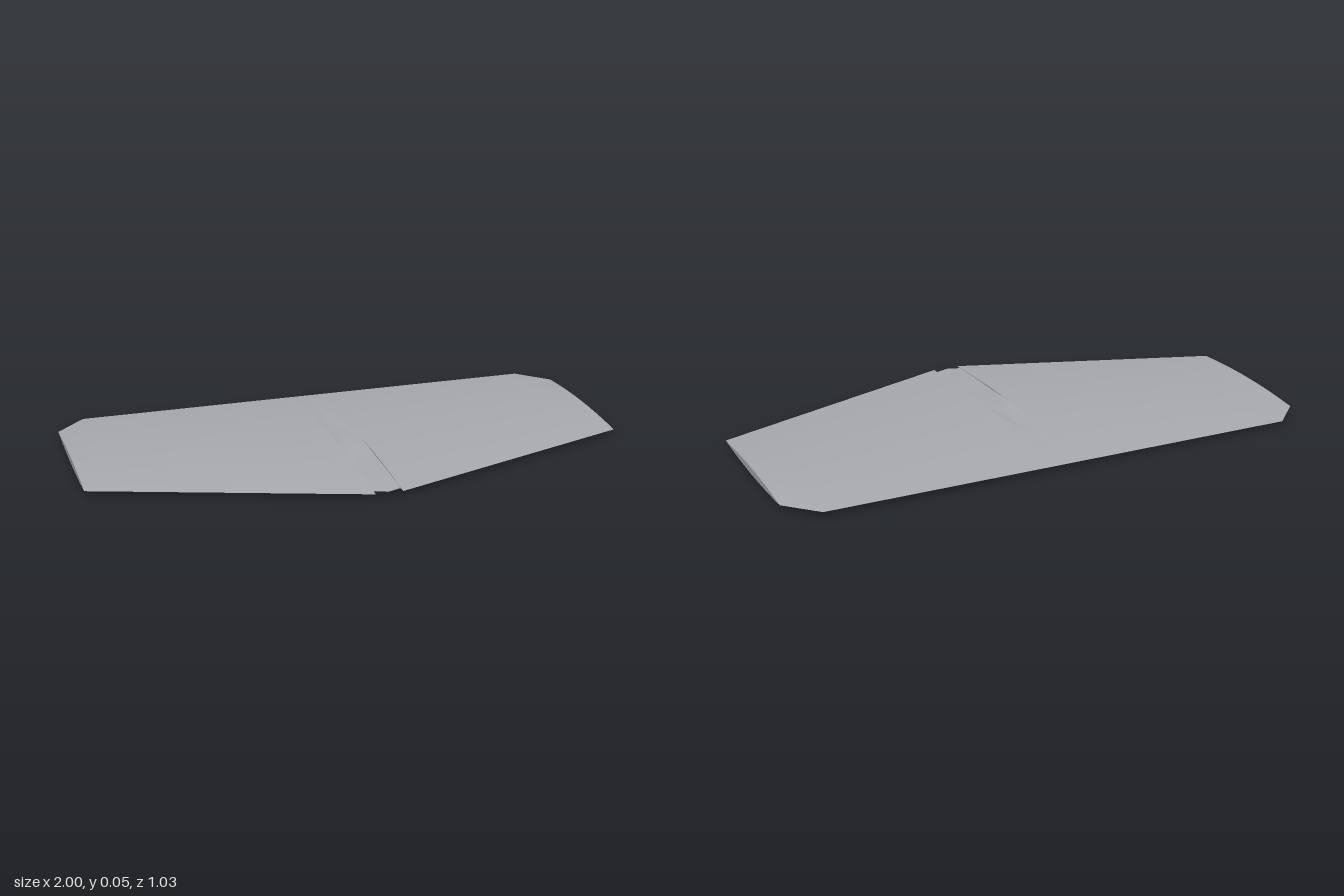
import * as THREE from 'three';

const MID = 0.024;   // height of the chord plane
const SLOT = 0.05;   // half width of the centre slot
const N = 16;        // chordwise segments

// planform edges and lens-shaped half thickness
const front = (x) => 0.51 - 0.325 * (Math.abs(x) - SLOT) / (1 - SLOT);
const rear = (x) => -0.52 + Math.max(0, Math.abs(x) - 0.89);
const lens = (x, z) => {
  const ax = Math.max(SLOT, Math.abs(x));
  const a = rear(ax), b = front(ax);
  const u = (2 * z - a - b) / (b - a);
  return (0.0225 - 0.0095 * (ax - SLOT) / (1 - SLOT)) * Math.max(0, 1 - u * u);
};

// the strip sinks below the panels at its front and in its rear point
const stripHeight = (x, z) => {
  let sink = 0;
  if (z > 0.05) sink = Math.min(1, (z - 0.05) / 0.15) * 0.3;
  else if (z < -0.04) sink = Math.sin(Math.PI * Math.min(1, (-0.04 - z) / 0.26)) * 0.3;
  return lens(x, z) * (1 - sink);
};

// closed panel lofted through stations [x, front z, rear z], x ascending
function panel(stations, height) {
  const pos = [], index = [];
  const grid = (rows) => {
    const base = pos.length / 3, w = rows[0].length;
    rows.forEach((r) => r.forEach((p) => pos.push(...p)));
    for (let i = 0; i < rows.length - 1; i++) {
      for (let j = 0; j < w - 1; j++) {
        const a = base + i * w + j, b = a + w;
        index.push(a, a + 1, b, b, a + 1, b + 1);
      }
    }
  };
  const row = ([x, f, r], side) => Array.from({ length: N + 1 }, (_, j) => {
    const z = r + (f - r) * j / N;
    return [x, MID + side * height(x, z), z];
  });
  const top = stations.map((s) => row(s, 1));
  const low = stations.map((s) => row(s, -1));
  grid(top);
  grid(low.map((r) => [...r].reverse()));
  // front and rear edge walls
  grid(top.map((r, i) => [r[N], low[i][N]]));
  grid(top.map((r, i) => [low[i][0], r[0]]));
  // side walls
  const last = stations.length - 1;
  grid([low[0], top[0]]);
  grid([top[last], low[last]]);
  const g = new THREE.BufferGeometry();
  g.setAttribute('position', new THREE.Float32BufferAttribute(pos, 3));
  g.setIndex(index);
  g.computeVertexNormals();
  return g;
}

export function createModel() {
  const model = new THREE.Group();
  model.name = 'flatWing';
  const grey = new THREE.MeshStandardMaterial({ color: 0xa9abaf });
  grey.name = 'grey';
  const add = (name, stations, height) => {
    const m = new THREE.Mesh(panel(stations, height), grey);
    m.name = name;
    model.add(m);
  };

  // outer panels with clipped rear corners
  const xs = [SLOT, 0.25, 0.45, 0.67, 0.89, 1];
  const station = (x) => [x, front(x), rear(x)];
  add('leftPanel', xs.map(station), lens);
  add('rightPanel', xs.map((x) => station(-x)).reverse(), lens);

  // centre bridge with a V-shaped cutout
  add('centreBridge', [[-SLOT, -0.04, -0.52], [0, -0.3, -0.52], [SLOT, -0.04, -0.52]], lens);

  // sunken strip that fills the slot
  add('centreStrip', [[-SLOT, 0.48, -0.04], [0, 0.5, -0.3], [SLOT, 0.48, -0.04]], stripHeight);
  return model;
}
